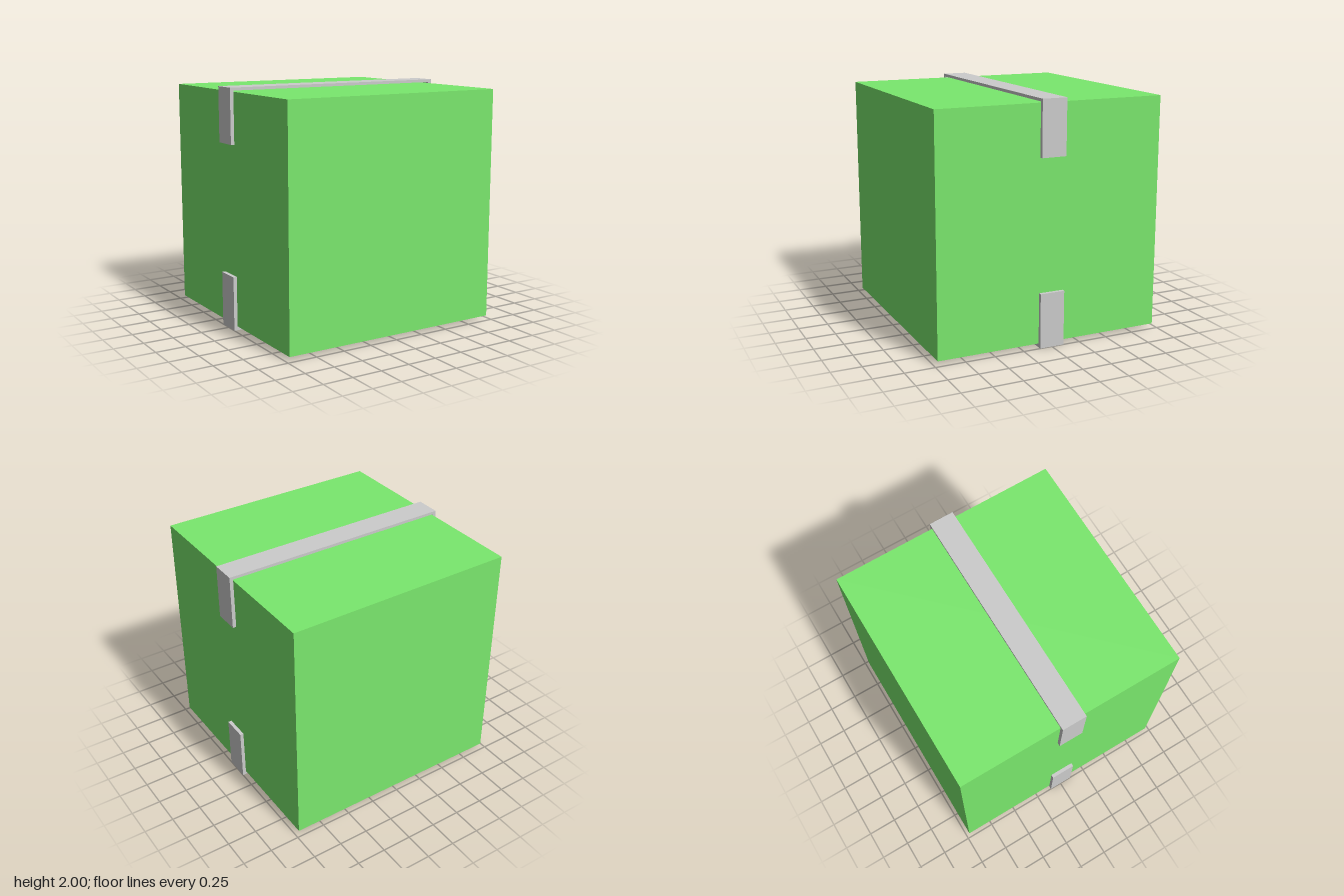
import * as THREE from 'three';

const STRAP_WIDTH = 0.21;

// U-shaped band: flat run across the box with a leg down each side
function strapGeometry(thickness) {
  const outer = 1, inner = 0.97, leg = 0.455;
  const shape = new THREE.Shape([
    [-outer, 0], [outer, 0], [outer, leg], [inner, leg],
    [inner, thickness], [-inner, thickness], [-inner, leg], [-outer, leg],
  ].map(([x, y]) => new THREE.Vector2(x, y)));
  const geometry = new THREE.ExtrudeGeometry(shape, { depth: STRAP_WIDTH, bevelEnabled: false });
  return geometry.translate(0, 0, -STRAP_WIDTH / 2);
}

export function createModel() {
  const model = new THREE.Group();
  model.name = 'strappedBox';
  const green = new THREE.MeshStandardMaterial({ color: 0x7ae86d });
  const grey = new THREE.MeshStandardMaterial({ color: 0xcccccc });

  const add = (name, geometry, material) => {
    const mesh = new THREE.Mesh(geometry, material);
    mesh.name = name;
    model.add(mesh);
    return mesh;
  };

  // Box body
  add('box', new THREE.BoxGeometry(1.94, 1.935, 1.94), green).position.y = 1;

  // Bottom strap, and the top strap turned over with a slight gap above the lid
  add('bottomStrap', strapGeometry(0.032), grey);
  const top = add('topStrap', strapGeometry(0.024), grey);
  top.rotation.z = Math.PI;
  top.position.y = 2;

  return model;
}
